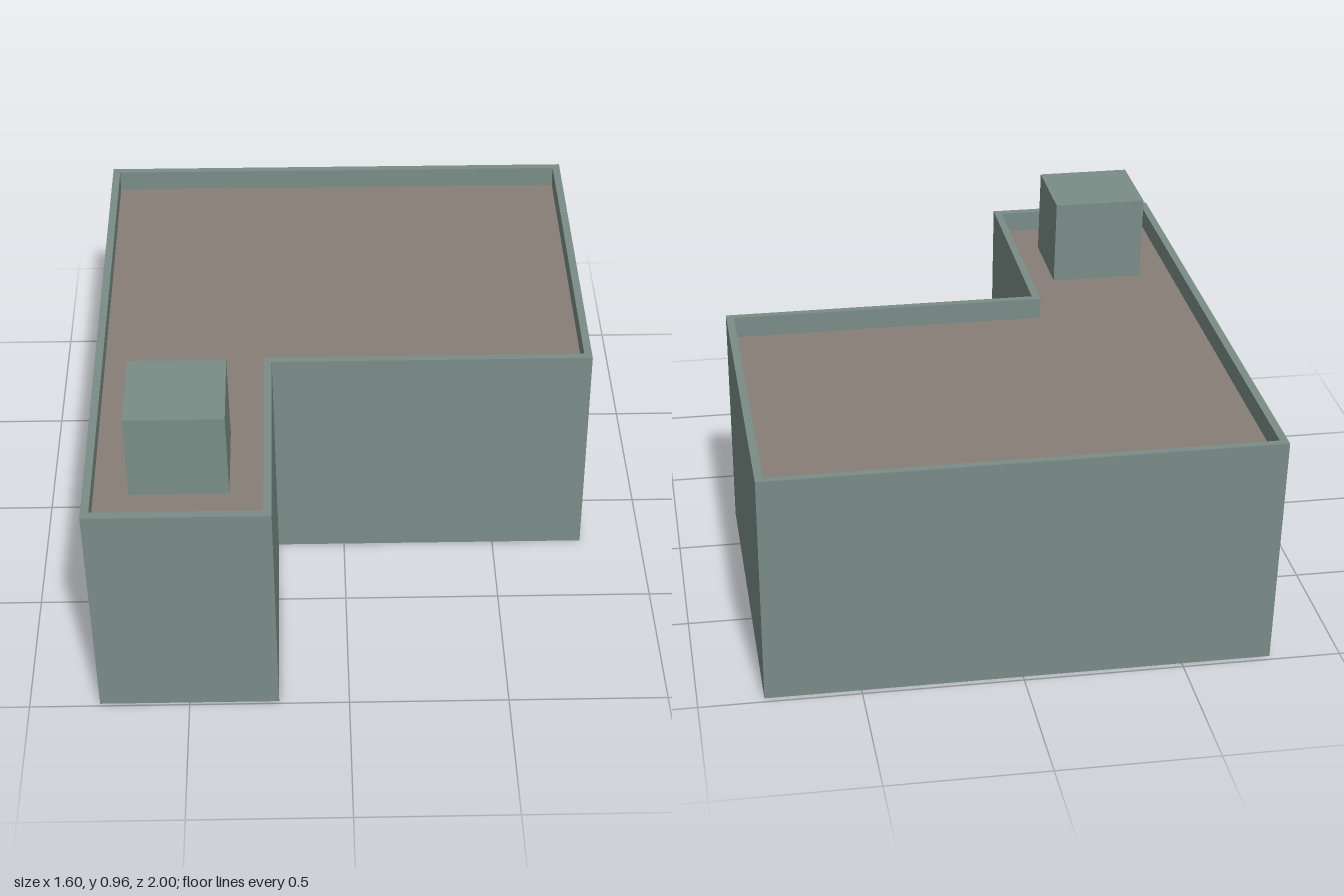
import * as THREE from 'three';

const wallPaint = new THREE.MeshStandardMaterial({ name: 'grey green wall', color: 0x7b8d88, side: THREE.DoubleSide });
const roofPaint = new THREE.MeshStandardMaterial({ name: 'brown grey roof', color: 0x877e76, side: THREE.DoubleSide });

const ROOF_Y = 0.68;
const TOP_Y = 0.75;

// L-shaped outlines as [x, z], counter-clockwise seen from above
const base = [[-0.78, 0.99], [-0.22, 0.99], [-0.22, 0.217], [0.797, 0.217], [0.797, -0.98], [-0.78, -0.98]];
const outer = [[-0.8, 1], [-0.232, 1], [-0.232, 0.21], [0.8, 0.21], [0.8, -1], [-0.8, -1]];
const inner = [[-0.775, 0.972], [-0.257, 0.972], [-0.257, 0.185], [0.775, 0.185], [0.775, -0.975], [-0.775, -0.975]];

// Band of flat quads joining a lower closed outline to an upper one
function band(name, low, lowY, high, highY) {
  const pos = [];
  low.forEach((p, i) => {
    const j = (i + 1) % low.length;
    const a = [p[0], lowY, p[1]];
    const b = [low[j][0], lowY, low[j][1]];
    const c = [high[j][0], highY, high[j][1]];
    const d = [high[i][0], highY, high[i][1]];
    pos.push(...a, ...b, ...c, ...a, ...c, ...d);
  });
  const geo = new THREE.BufferGeometry();
  geo.setAttribute('position', new THREE.Float32BufferAttribute(pos, 3));
  geo.computeVertexNormals();
  const mesh = new THREE.Mesh(geo, wallPaint);
  mesh.name = name;
  return mesh;
}

// Flat horizontal cap filling an outline
function cap(name, outline, y, material) {
  const shape = new THREE.Shape(outline.map(([x, z]) => new THREE.Vector2(x, -z)));
  const geo = new THREE.ShapeGeometry(shape).rotateX(-Math.PI / 2).translate(0, y, 0);
  const mesh = new THREE.Mesh(geo, material);
  mesh.name = name;
  return mesh;
}

export function createModel() {
  const model = new THREE.Group();
  model.name = 'building';

  // Hollow, slightly flared outer walls, open underneath
  model.add(band('outerWalls', base, 0, outer, TOP_Y));

  // Parapet: flat rim and inner faces down to the sunken roof
  model.add(band('parapetRim', outer, TOP_Y, inner, TOP_Y));
  model.add(band('parapetInside', [...inner].reverse(), ROOF_Y, [...inner].reverse(), TOP_Y));
  model.add(cap('roof', inner, ROOF_Y, roofPaint));

  // Rooftop box with a slight lean, its open bottom reaching just below the roof
  const boxLow = [[-0.666, 0.8], [-0.36, 0.8], [-0.36, 0.492], [-0.666, 0.492]];
  const boxHigh = boxLow.map(([x, z]) => [x - 0.008, z]);
  const box = new THREE.Group();
  box.name = 'rooftopBox';
  box.add(band('boxSides', boxLow, 0.64, boxHigh, 0.96));
  box.add(cap('boxTop', boxHigh, 0.96, wallPaint));
  model.add(box);

  return model;
}
